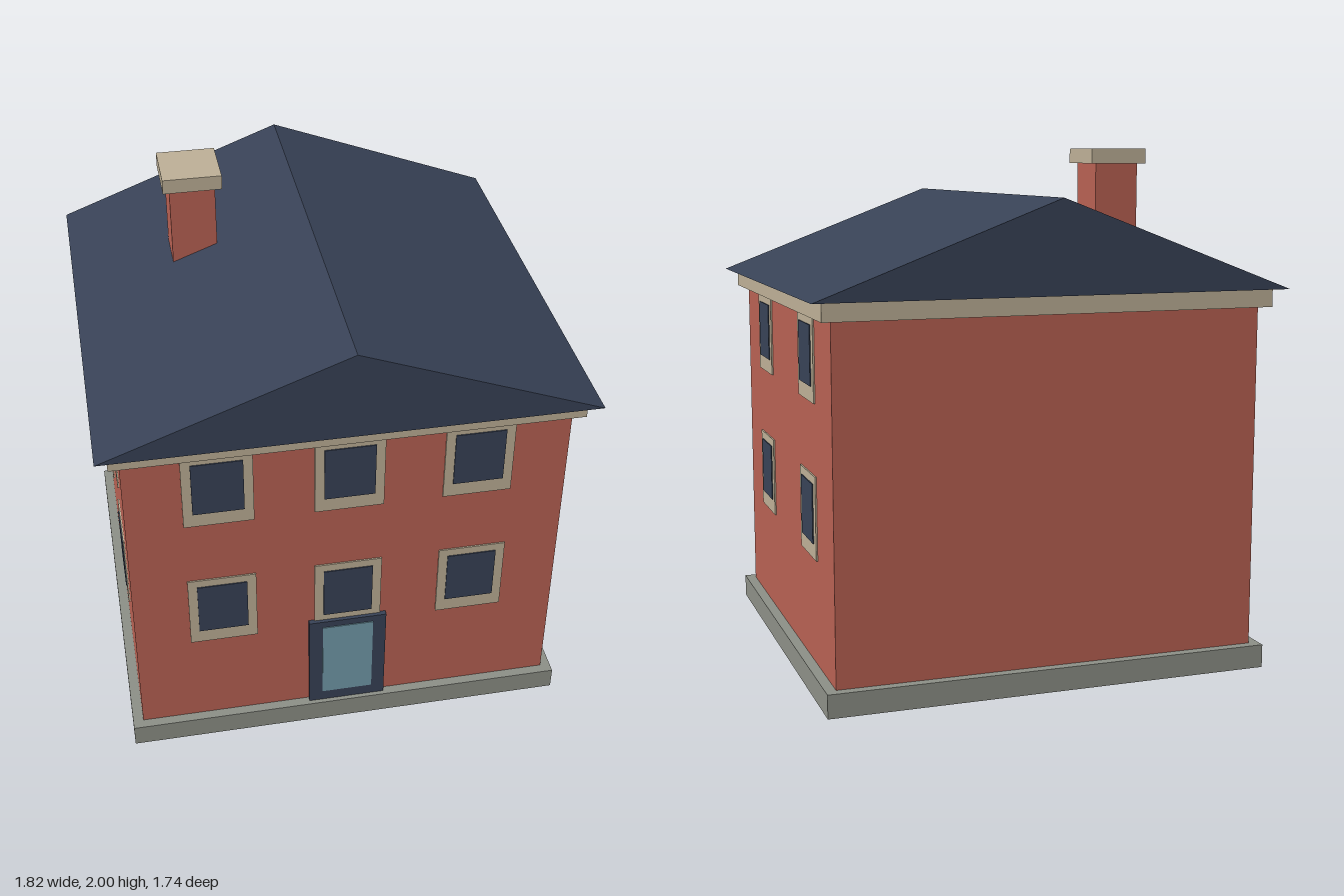
import * as THREE from 'three';

const mat = (name, color) => {
  const m = new THREE.MeshStandardMaterial({ color });
  m.name = name;
  return m;
};

export function createModel() {
  const brick = mat('brick red', 0xb66052);
  const trim = mat('cream trim', 0xbbae95);
  const navy = mat('slate navy', 0x374155);
  const stone = mat('grey stone', 0x8b8e85);
  const glass = mat('door glass', 0x7199a8);

  const house = new THREE.Group();
  house.name = 'house';

  // Box resting on y = bottom
  const box = (parent, name, material, w, h, d, x, bottom, z) => {
    const mesh = new THREE.Mesh(new THREE.BoxGeometry(w, h, d), material);
    mesh.name = name;
    mesh.position.set(x, bottom + h / 2, z);
    parent.add(mesh);
    return mesh;
  };

  // Main block
  box(house, 'plinth', stone, 1.73, 0.09, 1.64, 0, 0, 0);
  box(house, 'walls', brick, 1.65, 1.32, 1.565, 0, 0.09, 0);
  box(house, 'eavesBand', trim, 1.73, 0.07, 1.64, 0, 1.41, 0);

  // Gable roof with its ridge along z
  const gable = new THREE.Shape();
  gable.moveTo(-0.91, 1.48);
  gable.lineTo(0.91, 1.48);
  gable.lineTo(0, 1.826);
  gable.closePath();
  const roofGeo = new THREE.ExtrudeGeometry(gable, { depth: 1.74, bevelEnabled: false });
  roofGeo.translate(0, 0, -0.87);
  const roof = new THREE.Mesh(roofGeo, navy);
  roof.name = 'roof';
  house.add(roof);

  // Chimney
  box(house, 'chimney', brick, 0.175, 0.42, 0.185, -0.43, 1.53, -0.25);
  box(house, 'chimneyCap', trim, 0.226, 0.057, 0.23, -0.43, 1.943, -0.25);

  // Window: thin frame plate with a pane, built facing +z
  const addWindow = (x, bottom, z, turn) => {
    const win = new THREE.Group();
    win.name = 'window';
    box(win, 'windowFrame', trim, 0.26, 0.317, 0.008, 0, 0, 0.002);
    box(win, 'windowPane', navy, 0.19, 0.226, 0.008, 0, 0.059, 0.006);
    win.position.set(x, bottom, z);
    win.rotation.y = turn;
    house.add(win);
  };
  for (const bottom of [0.495, 1.083]) {
    for (const x of [-0.484, 0, 0.484]) addWindow(x, bottom, 0.7825, 0);
    for (const side of [-1, 1])
      for (const z of [-0.39, 0.39]) addWindow(side * 0.825, bottom, z, side * Math.PI / 2);
  }

  // Front door
  box(house, 'door', navy, 0.305, 0.435, 0.024, 0, 0.09, 0.7905);
  box(house, 'doorGlass', glass, 0.2, 0.357, 0.008, 0, 0.139, 0.802);

  return house;
}
